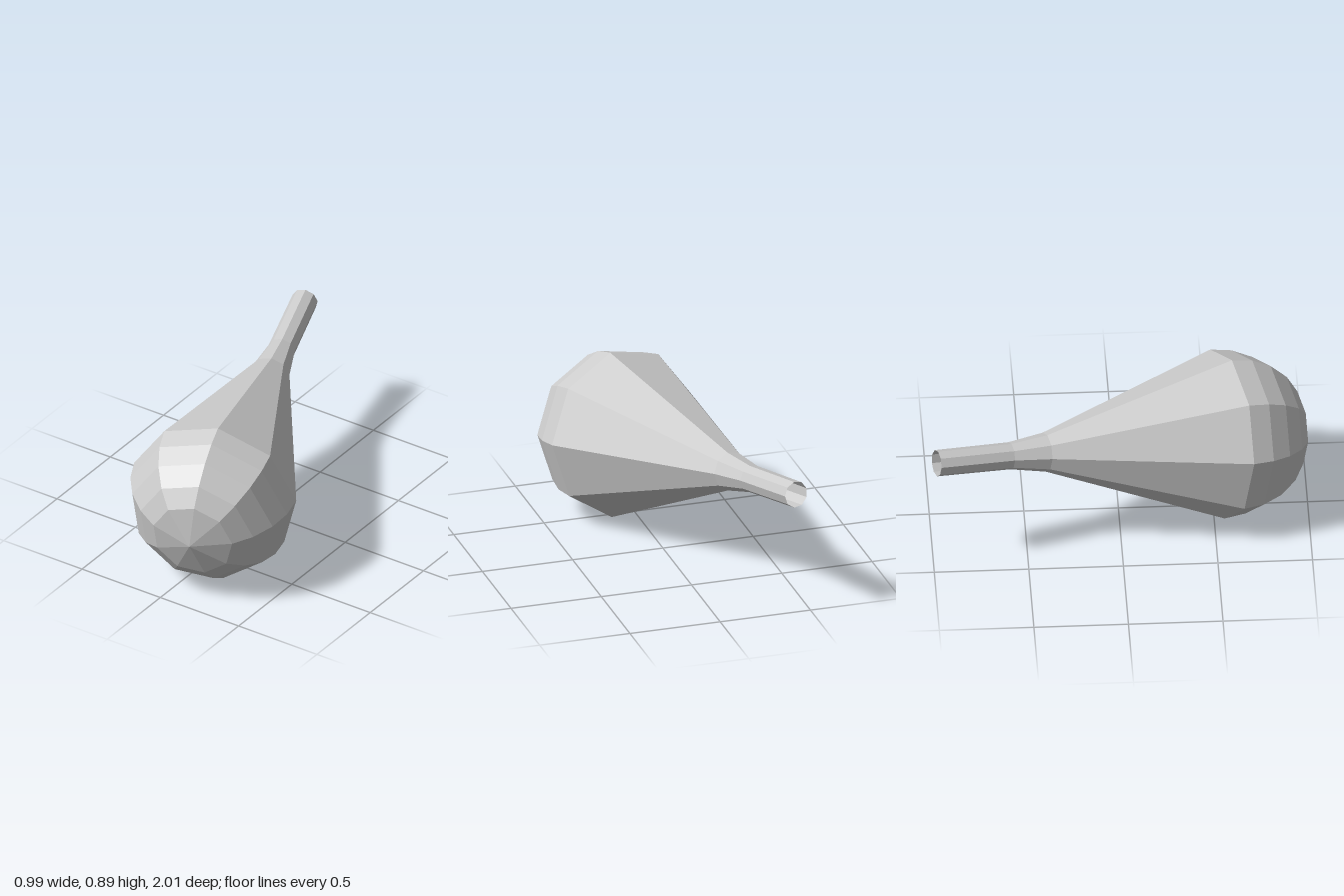
import * as THREE from 'three';

const SIDES = 9;
const R = 0.455; // bulb radius

// Turned part from [distance behind the nose, radius] pairs, listed tail to nose
function turned(name, profile) {
  const points = profile.map(([d, r]) => new THREE.Vector2(r, -d));
  const material = new THREE.MeshStandardMaterial({
    color: 0xcccccc, flatShading: true, side: THREE.DoubleSide,
  });
  const mesh = new THREE.Mesh(new THREE.LatheGeometry(points, SIDES), material);
  mesh.name = name;
  return mesh;
}

export function createModel() {
  const group = new THREE.Group();
  group.name = 'bulbDropper';

  // Rounded squeeze end: half a sphere
  const dome = [90, 75, 60, 44, 29, 0].map((deg) => {
    const a = THREE.MathUtils.degToRad(deg);
    return [R * (1 - Math.cos(a)), R * Math.sin(a)];
  });
  const bulb = turned('bulb', dome);

  // Long taper into the neck
  const taper = turned('taper', [[1.663, 0.073], [1.463, 0.105], [R, R]]);

  // Thin tube, open at its end
  const tube = turned('tube', [[2.08, 0.071], [1.663, 0.073]]);

  // Lay the axis from the tail to the nose, with one ridge near the top
  const nose = new THREE.Vector3(0.175, 0.37, 0.985);
  const tail = new THREE.Vector3(-0.425, 0.67, -0.98);
  const axis = nose.clone().sub(tail).normalize();
  const ridge = new THREE.Vector3(0.054, 0.44, 0.046);
  ridge.addScaledVector(axis, -ridge.dot(axis)).normalize();
  const side = new THREE.Vector3().crossVectors(axis, ridge);

  const body = new THREE.Group();
  body.name = 'body';
  body.add(bulb, taper, tube);
  body.quaternion.setFromRotationMatrix(new THREE.Matrix4().makeBasis(side, axis, ridge));
  body.position.copy(nose);
  group.add(body);
  return group;
}
